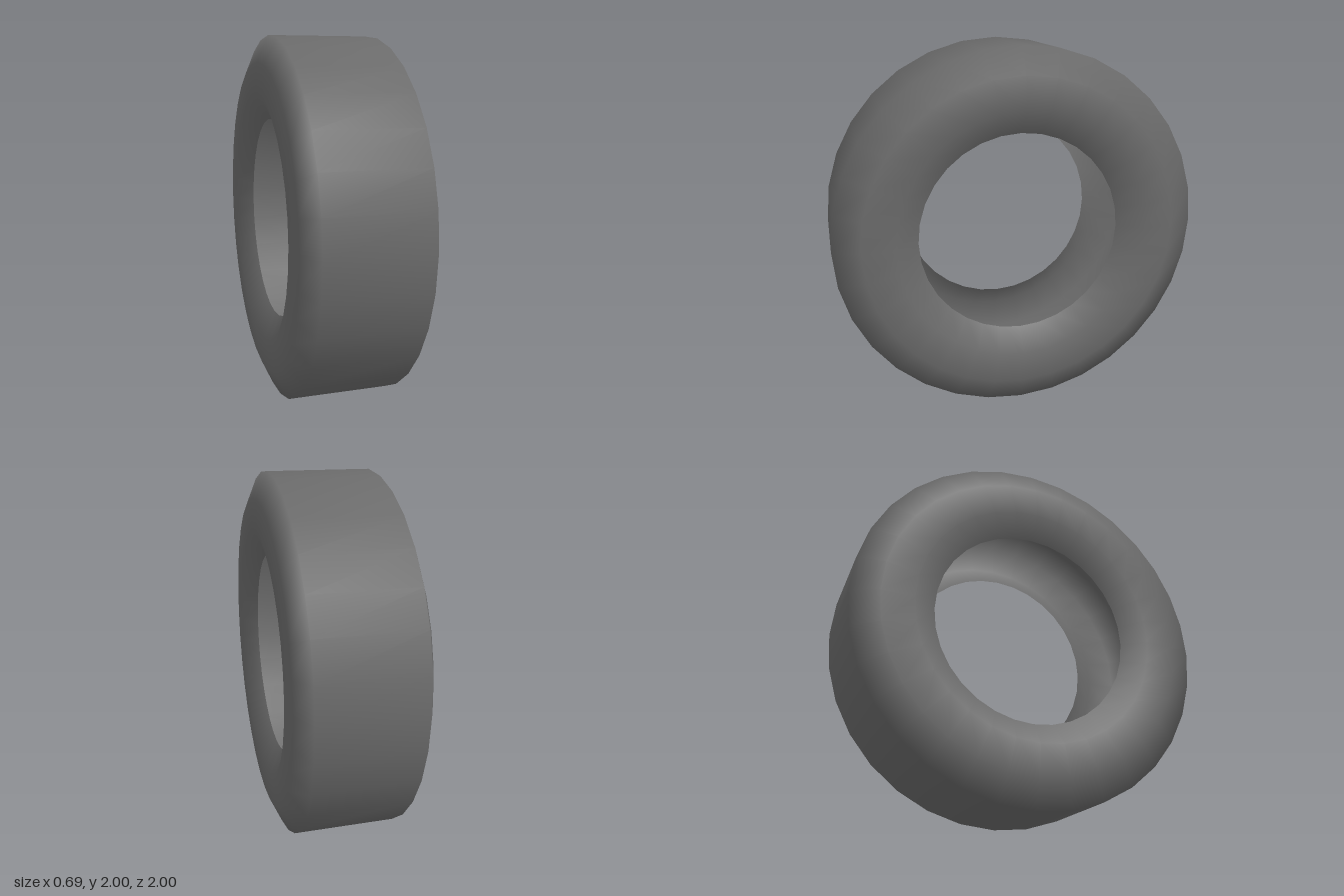
import * as THREE from 'three';

export function createModel() {
  const group = new THREE.Group();
  group.name = 'tire';

  // Half of the open, hollow section from lip to tread edge: [radius, half width]
  const half = [[0.555, 0.26], [0.68, 0.345], [0.857, 0.34], [1, 0.275]];
  const profile = [
    ...half.map(([r, w]) => new THREE.Vector2(r, -w)),
    ...half.slice().reverse().map(([r, w]) => new THREE.Vector2(r, w)),
  ];

  // Thin shell swept around the axle, which lies along x
  const geometry = new THREE.LatheGeometry(profile, 32);
  geometry.rotateZ(-Math.PI / 2);

  const rubber = new THREE.MeshStandardMaterial({ color: 0x6a6a6a, side: THREE.DoubleSide });
  const shell = new THREE.Mesh(geometry, rubber);
  shell.name = 'tireShell';
  shell.position.y = 1;
  group.add(shell);

  return group;
}
